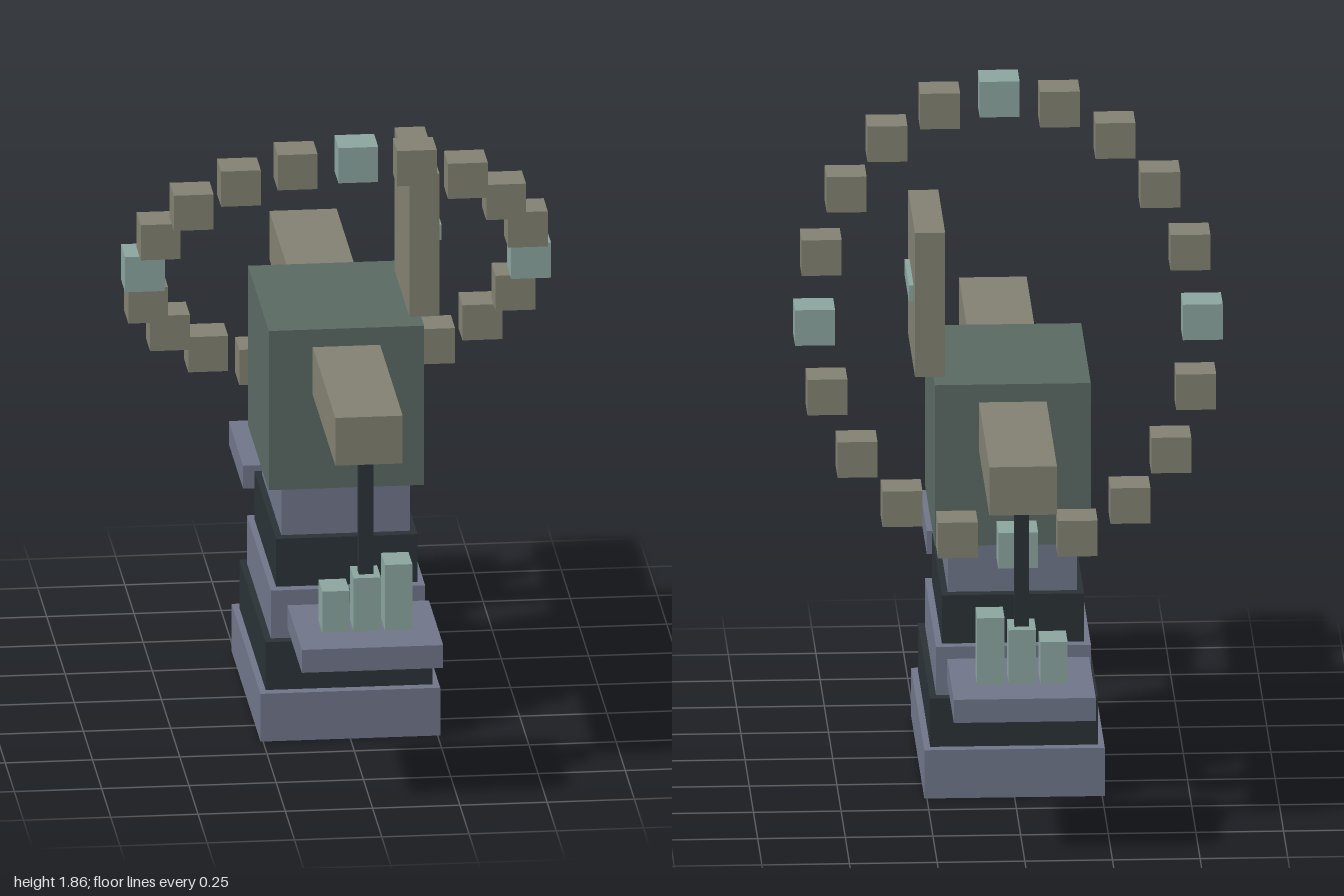
import * as THREE from 'three';

const material = (color) => new THREE.MeshStandardMaterial({ color, flatShading: true });

export function createModel() {
  const model = new THREE.Group();
  model.name = 'shrineMachine';

  const slate = material(0x70768a);
  const dark = material(0x2a3236);
  const green = material(0x5a6963);
  const khaki = material(0x828172);
  const teal = material(0x8ba59e);

  // Box given by its size, the centre of its underside and its parent
  function box(name, mat, [w, h, d], [x, y, z], parent = model) {
    const mesh = new THREE.Mesh(new THREE.BoxGeometry(w, h, d), mat);
    mesh.name = name;
    mesh.position.set(x, y + h / 2, z);
    parent.add(mesh);
    return mesh;
  }

  // Stepped pedestal, alternating slate and dark tiers
  const pedestal = new THREE.Group();
  pedestal.name = 'pedestal';
  model.add(pedestal);
  const tierHeight = 0.144;
  for (let i = 0; i < 5; i++) {
    const width = 0.515 - i * 0.0365;
    const depth = 0.785 - i * 0.064;
    box(`tier${i + 1}`, i % 2 ? dark : slate, [width, tierHeight, depth], [0, i * tierHeight, 0], pedestal);
  }

  // Main block with an upright panel on its left edge
  box('body', green, [0.445, 0.48, 0.57], [0, 0.72, 0]);
  box('sidePanel', khaki, [0.086, 0.43, 0.41], [0.232, 1.2, 0]);
  box('panelStrip', teal, [0.03, 0.047, 0.255], [0.274, 1.402, 0]);

  // Front and back arms, each hanging a tray with three bars
  for (const [side, sign] of [['front', 1], ['back', -1]]) {
    const arm = new THREE.Group();
    arm.name = `${side}Arm`;
    model.add(arm);
    const z = 0.803 * sign;
    box('beam', khaki, [0.193, 0.144, 0.64], [0, 1.003, 0.583 * sign], arm);
    box('rod', dark, [0.042, 0.52, 0.042], [0, 0.484, z], arm);
    box('tray', slate, [0.405, 0.069, 0.39], [0, 0.415, z], arm);
    [0.124, 0.161, 0.198].forEach((height, i) => {
      box(`bar${i + 1}`, teal, [0.078, height, 0.107], [(i - 1) * 0.09, 0.484, z], arm);
    });
  }

  // Tilted ring of floating cubes, every fifth one teal
  const ring = new THREE.Group();
  ring.name = 'cubeRing';
  model.add(ring);
  const radius = 0.553, size = 0.114, count = 20;
  for (let i = 0; i < count; i++) {
    const a = (i / count) * Math.PI * 2;
    const y = 1.305 + 0.5 * Math.cos(a) - size / 2;
    box(`ringCube${i + 1}`, i % 5 ? khaki : teal, [size, 0.106, size],
      [radius * Math.sin(a), y + 0.004, radius * Math.cos(a)], ring);
  }

  return model;
}
